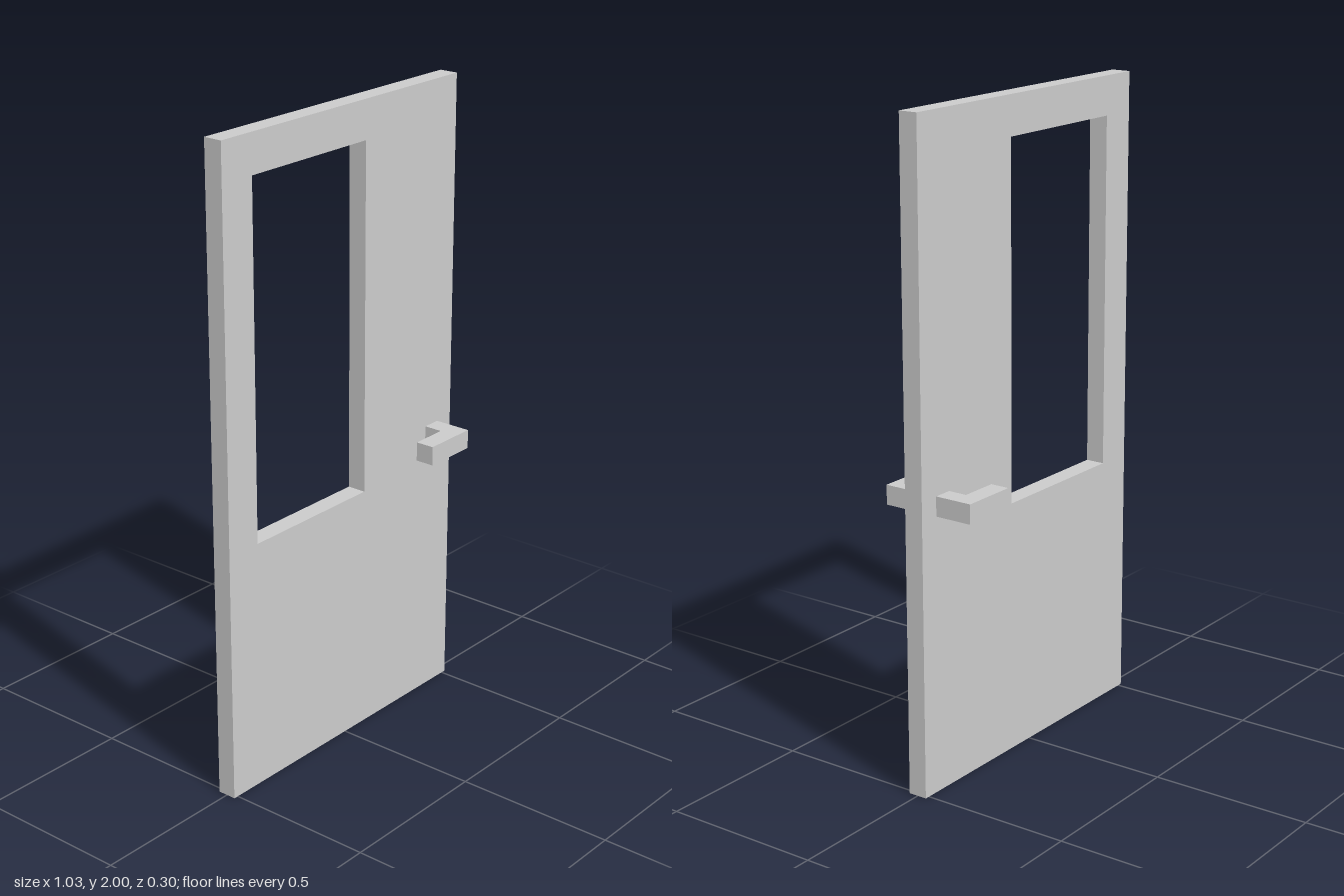
import * as THREE from 'three';

const material = new THREE.MeshStandardMaterial({ color: 0xcccccc, flatShading: true });

const DOOR = { halfWidth: 0.515, height: 2, thickness: 0.06 };
const WINDOW = { left: -0.395, right: 0.09, bottom: 0.79, top: 1.88 };
const HANDLE = { tip: 0.27, outer: 0.45, bar: 0.06, reach: 0.15, y: 0.88 };

const rectangle = (x0, y0, x1, y1) => [
  new THREE.Vector2(x0, y0), new THREE.Vector2(x1, y0),
  new THREE.Vector2(x1, y1), new THREE.Vector2(x0, y1),
];

// Slab with a rectangular window opening
function createPanel() {
  const shape = new THREE.Shape(rectangle(-DOOR.halfWidth, 0, DOOR.halfWidth, DOOR.height));
  shape.holes.push(new THREE.Path(rectangle(WINDOW.left, WINDOW.bottom, WINDOW.right, WINDOW.top)));
  const geometry = new THREE.ExtrudeGeometry(shape, { depth: DOOR.thickness, bevelEnabled: false });
  geometry.translate(0, 0, -DOOR.thickness / 2);
  const panel = new THREE.Mesh(geometry, material);
  panel.name = 'doorPanel';
  return panel;
}

// L-shaped lever: the plan outline (x, z) is extruded along the height
function createHandleGeometry() {
  const { tip, outer, bar, reach } = HANDLE;
  const face = DOOR.thickness / 2;
  const outline = new THREE.Shape([
    [outer - bar, face], [outer, face], [outer, reach],
    [tip, reach], [tip, reach - bar], [outer - bar, reach - bar],
  ].map(([x, z]) => new THREE.Vector2(x, z)));
  const geometry = new THREE.ExtrudeGeometry(outline, { depth: bar, bevelEnabled: false });
  geometry.translate(0, 0, -bar / 2);
  geometry.rotateX(Math.PI / 2);
  return geometry;
}

export function createModel() {
  const model = new THREE.Group();
  model.name = 'door';
  model.add(createPanel());

  // The back lever is the front one turned over about the x axis
  const handleGeometry = createHandleGeometry();
  for (const [name, turn] of [['frontHandle', 0], ['backHandle', Math.PI]]) {
    const handle = new THREE.Mesh(handleGeometry, material);
    handle.name = name;
    handle.position.y = HANDLE.y;
    handle.rotation.x = turn;
    model.add(handle);
  }
  return model;
}
